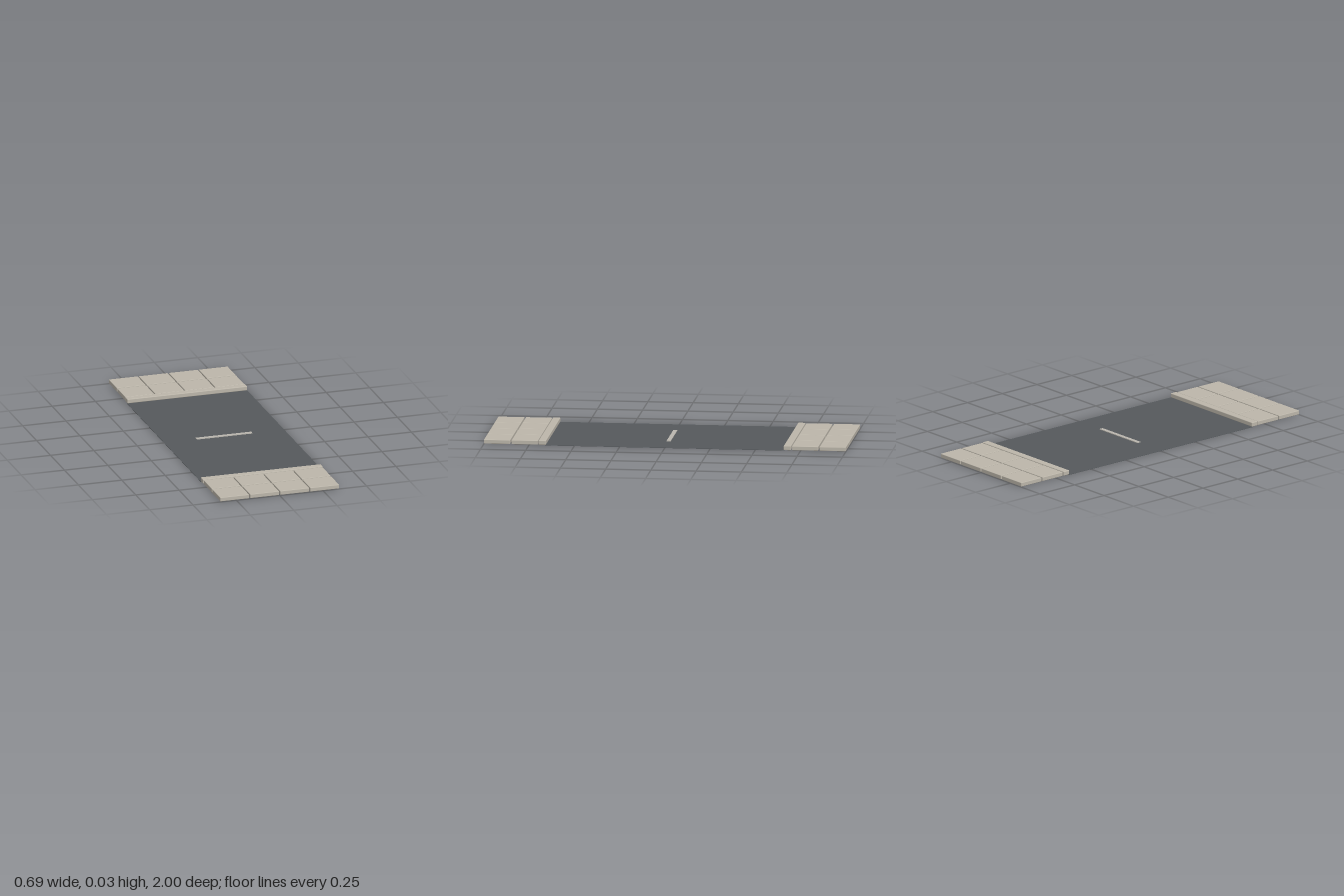
import * as THREE from 'three';
import { RoundedBoxGeometry } from 'three/addons/geometries/RoundedBoxGeometry.js';

export function createModel() {
  const group = new THREE.Group();
  group.name = 'roadSegment';
  const mat = (name, color) => {
    const m = new THREE.MeshStandardMaterial({ color });
    m.name = name;
    return m;
  };
  const asphalt = mat('asphalt', 0x55595c);
  const stone = mat('pavingStone', 0xbcb6aa);
  const paint = mat('roadPaint', 0xbab6ae);

  const add = (name, geometry, material, x, y, z) => {
    const mesh = new THREE.Mesh(geometry, material);
    mesh.name = name;
    mesh.position.set(x, y, z);
    group.add(mesh);
  };

  const width = 0.692;

  // Thin road surface and its single centre dash
  add('roadSurface', new THREE.BoxGeometry(width, 0.002, 1.32), asphalt, 0, 0.001, 0);
  add('centreDash', new THREE.BoxGeometry(0.32, 0.004, 0.022), paint, 0, 0.004, 0);

  // Kerbs and two rows of four paving slabs on each side of the road
  const pitch = width / 4;
  const kerb = new RoundedBoxGeometry(width, 0.025, 0.041, 2, 0.004);
  const slab = new RoundedBoxGeometry(pitch - 0.006, 0.023, 0.145, 2, 0.003);
  for (const side of [-1, 1]) {
    add('kerb', kerb, stone, 0, 0.0145, side * 0.677);
    for (const z of [0.7745, 0.9275]) {
      for (let i = 0; i < 4; i++) {
        add('pavingSlab', slab, stone, (i - 1.5) * pitch, 0.0135, side * z);
      }
    }
  }
  return group;
}
